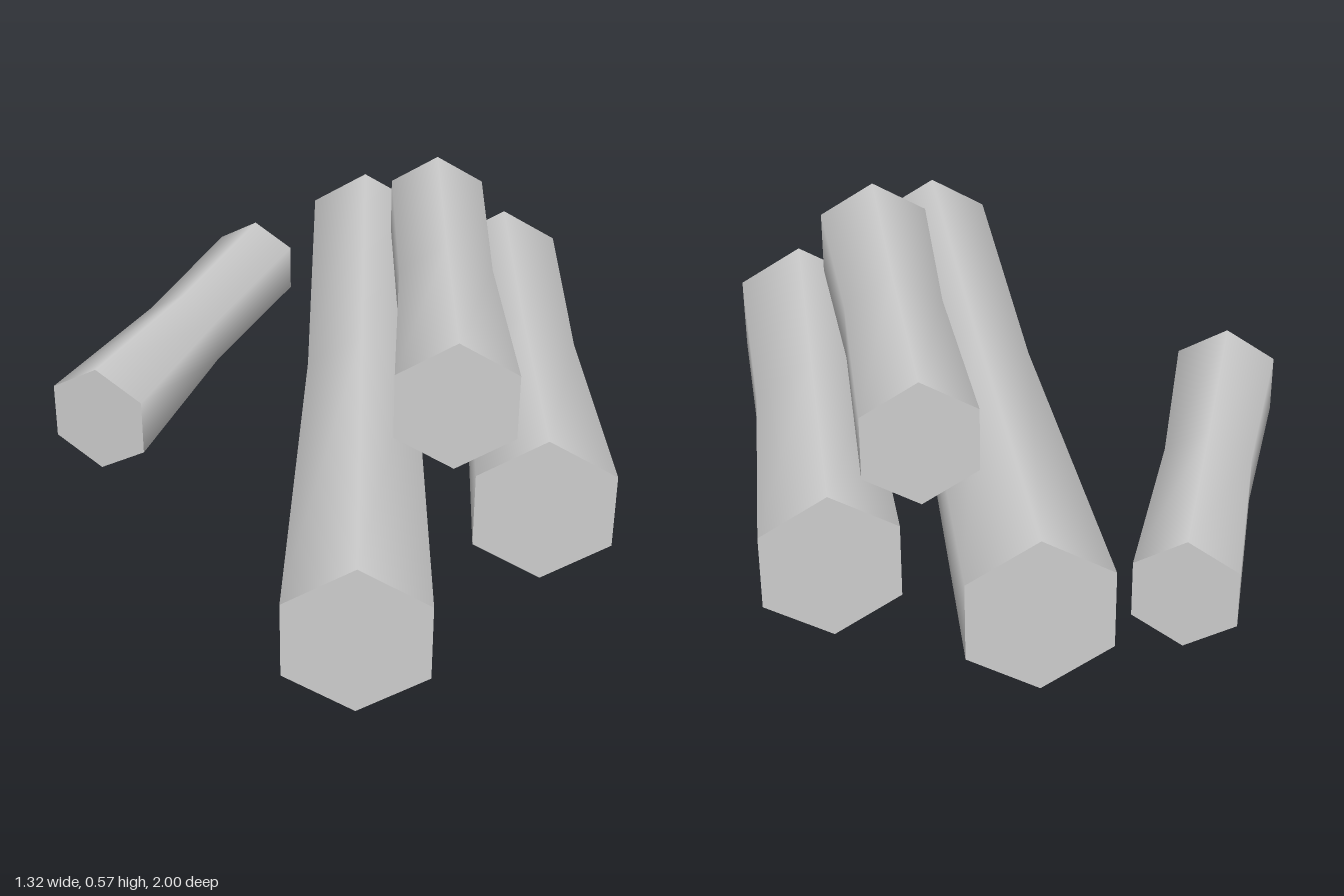
import * as THREE from 'three';

const material = new THREE.MeshStandardMaterial({ color: 0xcccccc });

// Six-sided log with a slight waist, running between two end centres
function makeLog(name, front, back, frontRadius, midRadius, backRadius) {
  const a = new THREE.Vector3(...front);
  const b = new THREE.Vector3(...back);
  const geometry = new THREE.CylinderGeometry(frontRadius, backRadius, a.distanceTo(b), 6, 2);

  // Pinch the middle ring
  const pos = geometry.attributes.position;
  for (let i = 0; i < pos.count; i++) {
    if (Math.abs(pos.getY(i)) > 1e-6) continue;
    const k = midRadius / Math.hypot(pos.getX(i), pos.getZ(i));
    pos.setX(i, pos.getX(i) * k);
    pos.setZ(i, pos.getZ(i) * k);
  }
  geometry.rotateX(Math.PI / 2); // axis along z, a corner pointing up

  const log = new THREE.Mesh(geometry, material);
  log.name = name;
  log.position.copy(a).add(b).multiplyScalar(0.5);
  log.rotation.y = Math.atan2(a.x - b.x, a.z - b.z);
  return log;
}

export function createModel() {
  const group = new THREE.Group();
  group.name = 'logPile';
  group.add(
    makeLog('longLog', [0.1, 0.203, 1], [0.1, 0.203, -1], 0.172, 0.152, 0.171),
    makeLog('leftLog', [0.507, 0.199, 0.52], [0.493, 0.199, -0.76], 0.178, 0.152, 0.165),
    makeLog('topLog', [0.309, 0.418, 0.45], [0.297, 0.418, -0.67], 0.157, 0.132, 0.142),
    makeLog('looseLog', [-0.548, 0.141, 0.053], [-0.218, 0.141, -0.88], 0.139, 0.115, 0.126),
  );
  return group;
}
